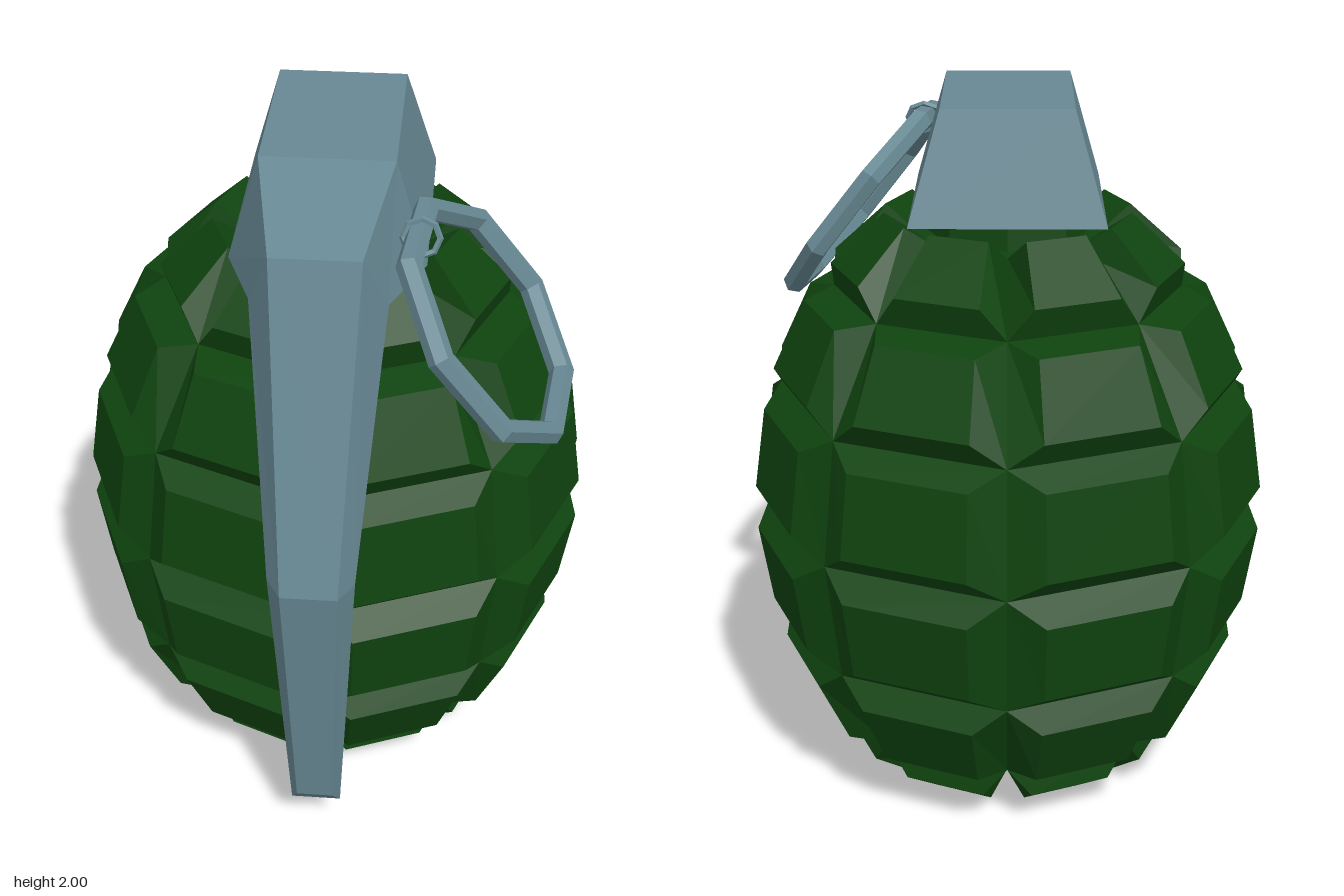
import * as THREE from 'three';

const green = new THREE.MeshStandardMaterial({ name: 'dark green', color: 0x0f430f, flatShading: true });
const steel = new THREE.MeshStandardMaterial({ name: 'blue grey steel', color: 0x678893, flatShading: true });

// Unindexed geometry from a list of four-cornered faces
function fromQuads(quads) {
  const pos = [];
  for (const [a, b, c, d] of quads) for (const p of [a, b, c, a, c, d]) pos.push(...p);
  const g = new THREE.BufferGeometry();
  g.setAttribute('position', new THREE.Float32BufferAttribute(pos, 3));
  g.computeVertexNormals();
  return g;
}

function add(parent, name, geometry, material) {
  const m = new THREE.Mesh(geometry, material);
  m.name = name;
  parent.add(m);
  return m;
}

const COLUMNS = 8;
// Groove rings [radius, height], bottom to top
const grooves = [[0.25, 0.045], [0.485, 0.19], [0.645, 0.475], [0.69, 0.825], [0.645, 1.175], [0.485, 1.46], [0.25, 1.61]];
// Lower and upper edge of the raised block in each row
const blocks = [
  [[0.34, 0.0], [0.48, 0.1]],
  [[0.567, 0.207], [0.66, 0.405]],
  [[0.692, 0.53], [0.727, 0.76]],
  [[0.727, 0.89], [0.692, 1.125]],
  [[0.66, 1.245], [0.567, 1.44]],
  [[0.49, 1.545], [0.342, 1.68]],
];

// Segmented body: every cell rises from the grooves to a bevelled block
function bodyGeometry() {
  const at = ([r, y], a) => [r * Math.sin(a), y, r * Math.cos(a)];
  const half = Math.PI / COLUMNS, inset = THREE.MathUtils.degToRad(14.3);
  const quads = [];
  blocks.forEach(([low, high], row) => {
    for (let c = 0; c < COLUMNS; c++) {
      const mid = (2 * c + 1) * half;
      const corners = (lo, hi, w) => [at(lo, mid - w), at(lo, mid + w), at(hi, mid + w), at(hi, mid - w)];
      const base = corners(grooves[row], grooves[row + 1], half);
      const face = corners(low, high, inset);
      quads.push(face);
      for (let k = 0; k < 4; k++) {
        const n = (k + 1) % 4;
        quads.push([base[k], base[n], face[n], face[k]]);
      }
    }
  });
  return fromQuads(quads);
}

// Cap and lever: trapezoid sections [half width, y, z] for outer and inner edge
function leverGeometry(sections) {
  const rings = sections.map(([[wo, yo, zo], [wi, yi, zi]]) =>
    [[-wo, yo, zo], [wo, yo, zo], [wi, yi, zi], [-wi, yi, zi]]);
  const quads = [rings[0], [...rings[rings.length - 1]].reverse()];
  for (let i = 0; i < rings.length - 1; i++)
    for (let k = 0; k < 4; k++) {
      const n = (k + 1) % 4;
      quads.push([rings[i][k], rings[i + 1][k], rings[i + 1][n], rings[i][n]]);
    }
  return fromQuads(quads);
}

export function createModel() {
  const model = new THREE.Group();
  model.name = 'grenade';

  const body = new THREE.Group();
  body.name = 'body';
  body.position.z = -0.08;
  model.add(body);
  add(body, 'segmentedShell', bodyGeometry(), green);
  const bottom = add(body, 'bottomPlate', new THREE.CircleGeometry(0.25, COLUMNS), green);
  bottom.rotation.x = Math.PI / 2;
  bottom.position.y = 0.045;
  const top = add(body, 'topPlate', new THREE.CircleGeometry(0.25, COLUMNS), green);
  top.rotation.x = -Math.PI / 2;
  top.position.y = 1.61;
  const neck = add(body, 'neck', new THREE.CylinderGeometry(0.21, 0.23, 0.13, COLUMNS), green);
  neck.position.set(0, 1.655, 0.04);

  add(model, 'capAndLever', leverGeometry([
    [[0.175, 2.0, -0.305], [0.26, 1.705, -0.385]],
    [[0.175, 2.0, 0.215], [0.26, 1.705, 0.215]],
    [[0.115, 1.905, 0.555], [0.175, 1.74, 0.475]],
    [[0.075, 1.05, 0.8], [0.115, 1.05, 0.73]],
    [[0.05, 0.215, 0.69], [0.07, 0.15, 0.64]],
  ]), steel);

  // Pull ring, hanging outwards on the left side
  const across = new THREE.Vector3(-0.12, -0.095, 0.99).normalize();
  const up = new THREE.Vector3(-0.62, 0.785, 0).normalize();
  const normal = new THREE.Vector3().crossVectors(across, up).normalize();
  const ringGeometry = new THREE.TorusGeometry(0.33, 0.034, 6, 8);
  ringGeometry.rotateZ(Math.PI / 8);
  ringGeometry.applyMatrix4(new THREE.Matrix4().makeBasis(across, up, normal));
  add(model, 'pullRing', ringGeometry, steel).position.set(0.425, 1.61, 0.322);

  // Small loop joining the ring to the cap
  const loop = add(model, 'ringLoop', new THREE.TorusGeometry(0.047, 0.009, 5, 8), steel);
  loop.position.set(0.245, 1.845, 0.32);
  loop.rotation.x = -0.38;

  return model;
}
